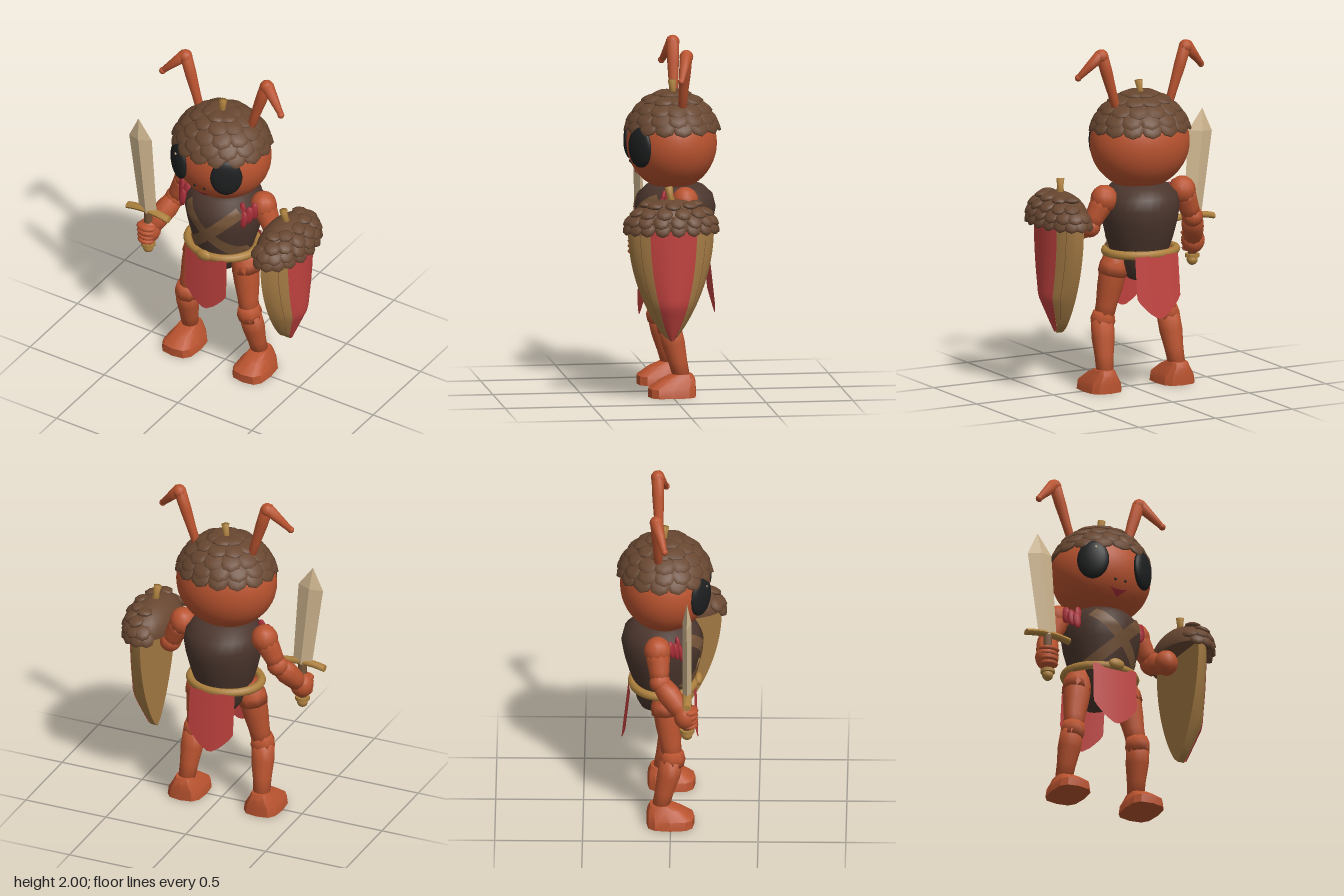
import * as THREE from 'three';
import { mergeGeometries, mergeVertices, toCreasedNormals } from 'three/addons/utils/BufferGeometryUtils.js';

const V = (x, y, z) => new THREE.Vector3(x, y, z);
const CX = -0.045; // body centre line

function mat(name, color, side = THREE.FrontSide) {
  const m = new THREE.MeshStandardMaterial({ color, side });
  m.name = name;
  return m;
}

// Bends a plane by a rule: fn(u, v) gives the point, u and v in 0..1
function patch(fn, nu, nv) {
  const g = new THREE.PlaneGeometry(1, 1, nu, nv), p = g.attributes.position;
  for (let i = 0; i < p.count; i++) {
    const q = fn(p.getX(i) + 0.5, p.getY(i) + 0.5);
    p.setXYZ(i, q.x, q.y, q.z);
  }
  g.computeVertexNormals();
  return g;
}

// Stacks rings [y, radiusX, centreZ, radiusZ] from the bottom up; power below 1 makes them boxier
function loft(rings, sides, crease = 0.9, power = 1) {
  const bend = t => Math.sign(t) * Math.pow(Math.abs(t), power);
  const g = patch((u, v) => {
    const [y, rx, cz, rz] = rings[Math.round(v * (rings.length - 1))], a = u * Math.PI * 2;
    return V(rx * bend(Math.sin(a)), y, cz + rz * bend(Math.cos(a)));
  }, sides, rings.length - 1);
  g.deleteAttribute('uv');
  g.deleteAttribute('normal');
  return toCreasedNormals(mergeVertices(g, 1e-4), crease);
}

// Round limb from a to b with evenly spaced radii
function limb(a, b, radii, sides = 12) {
  const d = b.clone().sub(a), L = d.length(), n = radii.length - 1;
  const pts = [new THREE.Vector2(0, 0), ...radii.map((r, i) => new THREE.Vector2(r, L * i / n)), new THREE.Vector2(0, L)];
  const g = new THREE.LatheGeometry(pts, sides);
  g.applyQuaternion(new THREE.Quaternion().setFromUnitVectors(V(0, 1, 0), d.normalize()));
  return g.translate(a.x, a.y, a.z);
}

const ball = (c, rx, ry = rx, rz = rx, w = 16, h = 12) =>
  new THREE.SphereGeometry(1, w, h).scale(rx, ry, rz).translate(c.x, c.y, c.z);

// Overlapping scales in rows [polar angle, count, width, height] on an ellipsoid
function scales(c, r, tilt, rows, keep = () => true) {
  const list = [];
  rows.forEach(([th, n, w, h], row) => {
    for (let i = 0; i < n; i++) {
      const ph = (i + (row % 2) * 0.5) / n * Math.PI * 2;
      const d = V(Math.sin(th) * Math.sin(ph), Math.cos(th), Math.sin(th) * Math.cos(ph));
      if (!keep(d)) continue;
      const nrm = V(d.x / r.x, d.y / r.y, d.z / r.z).normalize();
      const side = V(0, 1, 0).cross(nrm).normalize(), up = nrm.clone().cross(side);
      const g = new THREE.SphereGeometry(1, 8, 5).rotateX(Math.PI / 2).scale(w, h, 0.02).rotateX(-tilt);
      g.applyMatrix4(new THREE.Matrix4().makeBasis(side, up, nrm));
      list.push(g.translate(c.x + d.x * r.x, c.y + d.y * r.y, c.z + d.z * r.z));
    }
  });
  return mergeGeometries(list);
}

export function createModel() {
  const root = new THREE.Group();
  const skin = mat('skin', 0xb9532f), black = mat('eye black', 0x1e1f20), bark = mat('acorn brown', 0x684731, THREE.DoubleSide),
    leather = mat('dark leather', 0x4b362d), strapM = mat('strap leather', 0x735236, THREE.DoubleSide), gold = mat('gold', 0xae813e),
    cloth = mat('red cloth', 0xc0423f, THREE.DoubleSide), crimson = mat('crimson', 0xa42c36),
    bladeM = mat('pale blade', 0xcfb68f), wood = mat('shield wood', 0xa67c45, THREE.DoubleSide);
  const add = (name, geo, m, parent = root) => {
    const mesh = new THREE.Mesh(geo, m);
    mesh.name = name;
    parent.add(mesh);
    return mesh;
  };

  // Head and face
  const hc = V(CX, 1.425, -0.035), hr = V(0.294, 0.27, 0.257);
  const faceZ = (x, y) => hc.z + hr.z * Math.sqrt(1 - ((x - hc.x) / hr.x) ** 2 - ((y - hc.y) / hr.y) ** 2);
  add('head', ball(hc, hr.x, hr.y, hr.z, 36, 24), skin);
  for (const s of [-1, 1]) {
    const eye = add('eye', ball(V(0, 0, 0), 0.092, 0.117, 0.036, 24, 16), black);
    eye.position.set(CX + s * 0.16, 1.425, faceZ(CX + s * 0.16, 1.425) - 0.012);
    eye.rotation.y = s * 0.6;
    add('eyeGlint', ball(V(CX + s * 0.15 - 0.01, 1.492, 0.205), 0.008, 0.008, 0.004, 8, 6), bladeM);
    add('nostril', ball(V(CX + s * 0.032, 1.32, faceZ(CX + s * 0.032, 1.32)), 0.009, 0.009, 0.006, 8, 6), black);
  }
  add('mouth', patch((u, v) => {
    const x = (u - 0.5) * 0.11, y = 1.268 + 3 * x * x - (1 - v) * 0.035 * (1 - Math.abs(2 * u - 1));
    return V(CX + x, y, faceZ(CX + x, y) + 0.008);
  }, 8, 2), crimson);

  // Acorn cap
  const cc = V(CX, 1.42, -0.037), cr = V(0.286, 0.29, 0.264);
  add('capShell', new THREE.SphereGeometry(1, 28, 10, 0, Math.PI * 2, 0, 1.2).scale(cr.x, cr.y, cr.z).translate(cc.x, cc.y, cc.z), bark);
  add('capScales', scales(cc, cr, 0.2, [[0.2, 6, 0.064, 0.064], [0.46, 9, 0.066, 0.068], [0.72, 12, 0.068, 0.07],
    [0.94, 14, 0.068, 0.07], [1.1, 15, 0.068, 0.07]]), bark);
  add('capStem', limb(V(CX - 0.005, 1.68, -0.045), V(CX + 0.008, 1.785, -0.035), [0.028, 0.017, 0.024], 8), gold);

  // Antennae
  for (const s of [-1, 1]) {
    const at = (dx, y, z) => V(CX + s * dx, y, z);
    add('antennaLower', limb(at(0.165, 1.62, -0.07), at(0.272, 1.965, -0.08), [0.024, 0.027, 0.034, 0.036], 10), skin);
    add('antennaJoint', ball(at(0.275, 1.96, -0.08), 0.04, 0.04, 0.04, 12, 8), skin);
    add('antennaUpper', limb(at(0.28, 1.965, -0.08), at(0.4, 1.838, -0.035), [0.037, 0.027, 0.017], 10), skin);
    add('antennaTip', ball(at(0.4, 1.837, -0.033), 0.02, 0.02, 0.02, 10, 8), skin);
  }

  // Torso, pelvis and belt
  const body = [[0.79, 0.165, -0.045, 0.165], [0.88, 0.193, -0.05, 0.193], [0.98, 0.217, -0.053, 0.218],
    [1.06, 0.228, -0.053, 0.232], [1.13, 0.215, -0.053, 0.215], [1.18, 0.17, -0.05, 0.165], [1.2, 0.1, -0.05, 0.1], [1.202, 0, -0.05, 0]];
  add('torso', loft(body, 28, 1.2).translate(CX + 0.01, 0, 0), leather);
  add('neck', limb(V(CX, 1.1, -0.05), V(CX, 1.22, -0.04), [0.09, 0.08]), skin);
  add('pelvis', loft([[0.62, 0, -0.06, 0], [0.64, 0.08, -0.07, 0.1], [0.7, 0.13, -0.06, 0.14], [0.8, 0.165, -0.045, 0.165]], 18).translate(CX, 0, 0), leather);
  add('belt', new THREE.TorusGeometry(0.2, 0.025, 8, 32).rotateX(Math.PI / 2).scale(1.04, 1, 0.9).translate(CX, 0.8, -0.045), gold);
  add('buckle', ball(V(CX, 0.81, 0.155), 0.05, 0.034, 0.025, 12, 8), gold);

  // Crossed chest straps that follow the torso
  const chestZ = (x, y) => {
    let i = 0;
    while (i < body.length - 2 && body[i + 1][0] < y) i++;
    const t = (y - body[i][0]) / (body[i + 1][0] - body[i][0]);
    const [rx, cz, rz] = [1, 2, 3].map(k => THREE.MathUtils.lerp(body[i][k], body[i + 1][k], t));
    return cz + rz * Math.sqrt(Math.max(0.04, 1 - ((x - CX - 0.01) / rx) ** 2));
  };
  [-1, 1].forEach((s, k) => add('chestStrap', patch((u, v) => {
    const x = -0.015 + s * ((v - 0.5) * 0.32 + (u - 0.5) * 0.048), y = 0.82 + v * 0.31 - (u - 0.5) * 0.048;
    return V(x, y, chestZ(x, y) + 0.008 + k * 0.003);
  }, 3, 18), strapM));

  // Front and back loincloth
  for (const s of [1, -1]) add(s > 0 ? 'frontCloth' : 'backCloth', patch((u, v) => {
    const x = (u - 0.5) * 2 * Math.min(0.14, 0.015 + 0.15 * Math.pow(v / 0.4, 0.75));
    return V(CX + x, 0.44 + v * 0.36, s > 0 ? 0.142 + 0.012 * (1 - v) - x * x * 0.5 : -0.242 - 0.04 * (1 - v) + x * x * 0.5);
  }, 8, 12), cloth);

  // Legs and feet
  for (const s of [-1, 1]) {
    const at = (dx, y, z) => V(CX + 0.005 + s * dx, y, z);
    add('thigh', limb(at(0.21, 0.39, 0.01), at(0.145, 0.8, -0.035), [0.056, 0.06, 0.073, 0.08, 0.07]), skin);
    add('hipCuff', limb(at(0.17, 0.67, -0.025), at(0.15, 0.78, -0.035), [0.086, 0.084, 0.06], 8), skin);
    add('kneeCuff', limb(at(0.216, 0.36, 0.01), at(0.203, 0.45, 0.01), [0.064, 0.074, 0.062], 8), skin);
    add('shin', limb(at(0.235, 0.1, -0.06), at(0.214, 0.4, 0.01), [0.048, 0.054, 0.066, 0.066]), skin);
    const foot = add('foot', loft([[0, 0, 0, 0], [0, 0.108, -0.002, 0.137], [0.05, 0.1, -0.002, 0.137], [0.1, 0.066, -0.035, 0.1],
      [0.128, 0.052, -0.06, 0.06], [0.131, 0, -0.06, 0]], 12, 0.5, 0.65), skin);
    foot.position.x = CX + 0.008 + s * 0.238;
  }

  // Arms: shoulder, elbow and hand positions for each side
  const arms = [
    [-1, V(-0.3, 1.125, -0.075), V(-0.375, 0.96, -0.06), V(-0.46, 0.785, 0.085)],
    [1, V(0.21, 1.125, -0.075), V(0.295, 0.97, -0.06), V(0.335, 0.945, 0.05)]];
  for (const [s, a, b, c] of arms) {
    add('shoulder', ball(a, 0.078, 0.082, 0.078, 12, 8), skin);
    add('upperArm', limb(b, a, [0.052, 0.058, 0.066, 0.072], 10), skin);
    add('elbow', ball(b, 0.062, 0.062, 0.062, 10, 8), skin);
    add('forearm', limb(b, c, [0.052, 0.066, 0.06, 0.048], 10), skin);
    add('hand', ball(c, 0.068, 0.075, 0.066, 14, 10), skin);
    // Crimson shoulder plates
    for (let i = 0; i < 4; i++) {
      const plate = add('shoulderPlate', ball(V(0, 0, 0), 0.026, 0.055, 0.016, 8, 6), crimson);
      plate.position.set(a.x - s * (0.01 + 0.02 * i), 1.125 - 0.022 * (i % 3), 0.005 + 0.015 * (i % 3) + 0.012 * i);
      plate.rotation.set(-0.15, s * (0.7 - 0.3 * i), 0);
    }
  }
  // Fingers round the sword grip
  for (let i = 0; i < 4; i++)
    add('finger', ball(V(-0.46, 0.825 - i * 0.03, 0.11), 0.064 - 0.003 * i, 0.02, 0.05, 12, 6), skin);

  // Sword
  const sword = new THREE.Group();
  sword.name = 'sword';
  sword.position.set(-0.46, 0.92, 0.095);
  root.add(sword);
  const blade = add('blade', loft([[0, 0.058, 0, 0.026], [0.5, 0.077, 0, 0.026], [0.63, 0, 0, 0]], 4, 0.1), bladeM, sword);
  blade.rotation.z = 0.105;
  add('guard', swordGuard(), gold, sword);
  add('grip', limb(V(0, -0.23, 0), V(0, 0, 0), [0.025, 0.025], 10), strapM, sword);
  add('pommel', ball(V(0, -0.25, 0), 0.032, 0.032, 0.032, 10, 8), gold, sword);
  add('pommelRing', new THREE.CylinderGeometry(0.042, 0.042, 0.02, 10).translate(0, -0.225, 0), gold, sword);

  // Shield facing left: half width and bulge by height
  const shieldAt = (u, v) => {
    const w = 0.247 * Math.pow(Math.sin(Math.min(1, v * 1.05) * Math.PI / 2), 0.72);
    const d = 0.05 + 0.09 * Math.min(1, v / 0.32);
    return V(0.418 + d * Math.pow(1 - u * u, 0.65), 0.35 + v * 0.68, 0.035 - u * w);
  };
  const strip = (a, b, lift = 0, v0 = 0) => patch((u, v) => {
    const p = shieldAt(a + (b - a) * u, v0 + (1 - v0) * v);
    p.x += lift;
    return p;
  }, 8, 24);
  add('shieldFace', strip(-0.54, 0.54, 0.002, 0.015), cloth);
  for (const s of [-1, 1]) {
    add('shieldRim', strip(...(s < 0 ? [-1, -0.53] : [0.53, 1])), wood);
    add('shieldGroove', strip(s * 0.76 - 0.005, s * 0.76 + 0.005, 0.002, 0.03), strapM);
  }
  add('shieldBack', patch((u, v) => {
    const p = shieldAt(1 - 2 * u, v);
    p.x = 0.418;
    return p;
  }, 4, 24), wood);

  // Acorn cap over the top of the shield
  const sc = V(0.437, 1.01, 0.037), sr = V(0.142, 0.165, 0.25);
  add('shieldCapShell', new THREE.SphereGeometry(1, 24, 8, 0, Math.PI * 2, 0, Math.PI / 2).scale(sr.x, sr.y, sr.z).translate(sc.x, sc.y, sc.z), bark);
  add('shieldCapBase', new THREE.CircleGeometry(1, 24).rotateX(Math.PI / 2).scale(sr.x, 1, sr.z).translate(sc.x, sc.y, sc.z), bark);
  add('shieldCapScales', scales(sc, sr, 0.4, [[0.6, 8, 0.05, 0.046], [0.95, 12, 0.05, 0.05], [1.25, 15, 0.05, 0.05],
    [1.5, 17, 0.048, 0.05]], d => d.x > -0.1 || Math.abs(d.z) > 0.85), bark);
  add('shieldCapStem', limb(V(0.435, 1.15, 0.035), V(0.425, 1.245, 0.05), [0.028, 0.018, 0.024], 8), gold);
  return root;
}

// Gently curved sword guard
function swordGuard() {
  const g = new THREE.CylinderGeometry(0.025, 0.025, 0.28, 8, 8).rotateZ(Math.PI / 2).scale(1, 0.75, 1), p = g.attributes.position;
  for (let i = 0; i < p.count; i++) p.setY(i, p.getY(i) + 0.01 - 0.9 * p.getX(i) ** 2);
  g.computeVertexNormals();
  return g;
}
